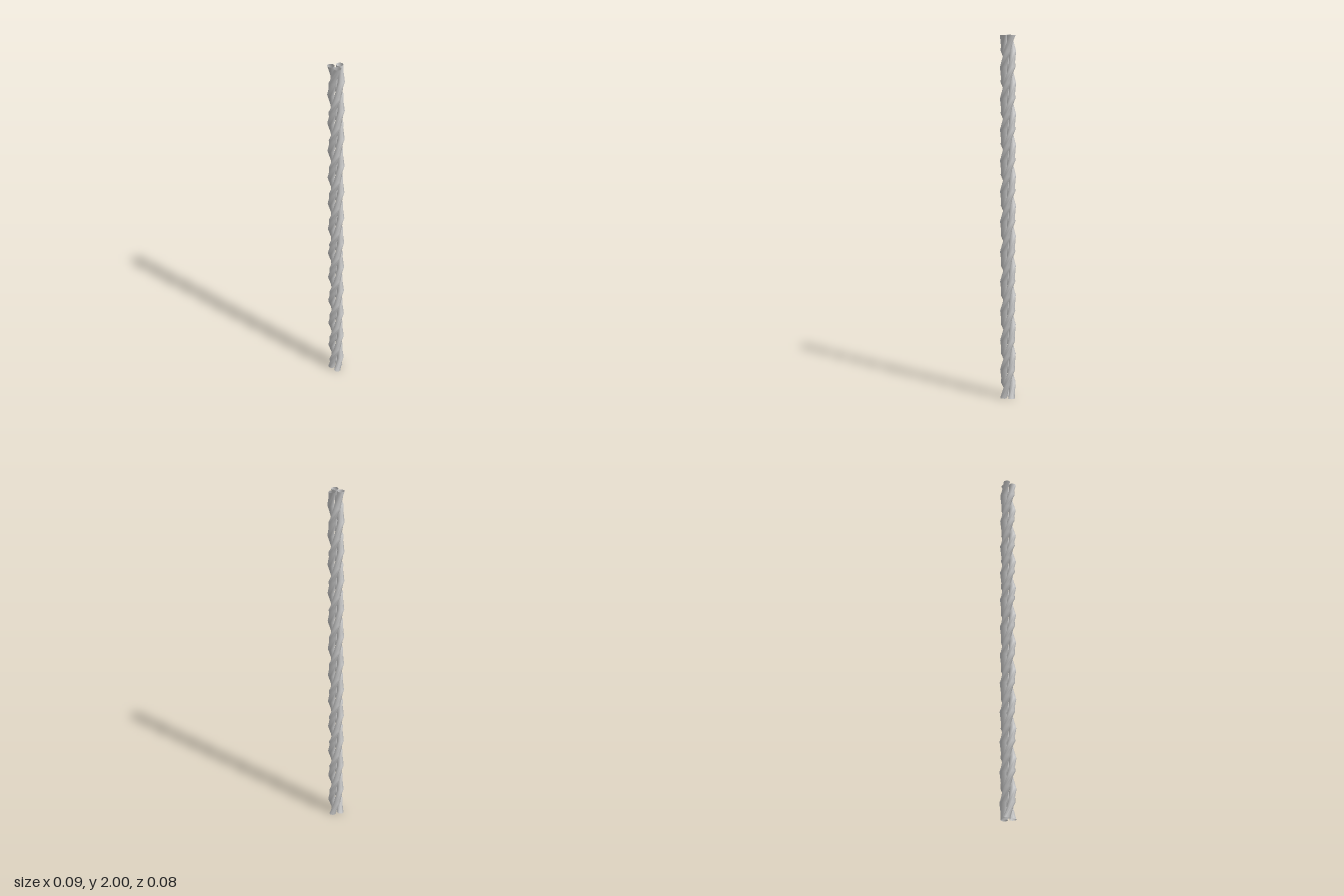
import * as THREE from 'three';
import { mergeVertices } from 'three/addons/utils/BufferGeometryUtils.js';

const HEIGHT = 2, STRANDS = 3, TURNS = 4, STEPS_PER_TURN = 6;
const PATH_RADIUS = 0.0265, STRAND_RADIUS = 0.0195, SIDES = 8;

// An open off-centre tube, twisted about the rope axis in coarse 60 degree steps
function strandGeometry() {
  const tube = new THREE.CylinderGeometry(
    STRAND_RADIUS, STRAND_RADIUS, HEIGHT, SIDES, TURNS * STEPS_PER_TURN, true);
  tube.translate(PATH_RADIUS, HEIGHT / 2, 0);
  const pos = tube.attributes.position;
  const v = new THREE.Vector3(), up = new THREE.Vector3(0, 1, 0);
  for (let i = 0; i < pos.count; i++) {
    v.fromBufferAttribute(pos, i);
    v.applyAxisAngle(up, (v.y / HEIGHT) * TURNS * Math.PI * 2);
    pos.setXYZ(i, v.x, v.y, v.z);
  }
  // Weld the seam so the strand shades smoothly all round
  tube.deleteAttribute('uv');
  tube.deleteAttribute('normal');
  const welded = mergeVertices(tube, 1e-5);
  welded.computeVertexNormals();
  return welded;
}

export function createModel() {
  const rope = new THREE.Group();
  rope.name = 'twistedRope';
  const material = new THREE.MeshStandardMaterial({ color: 0xcccccc, side: THREE.DoubleSide });
  const geometry = strandGeometry();

  // Three equal strands around the axis
  for (let i = 0; i < STRANDS; i++) {
    const strand = new THREE.Mesh(geometry, material);
    strand.name = `strand${i + 1}`;
    strand.rotation.y = (i / STRANDS) * Math.PI * 2;
    rope.add(strand);
  }
  return rope;
}
